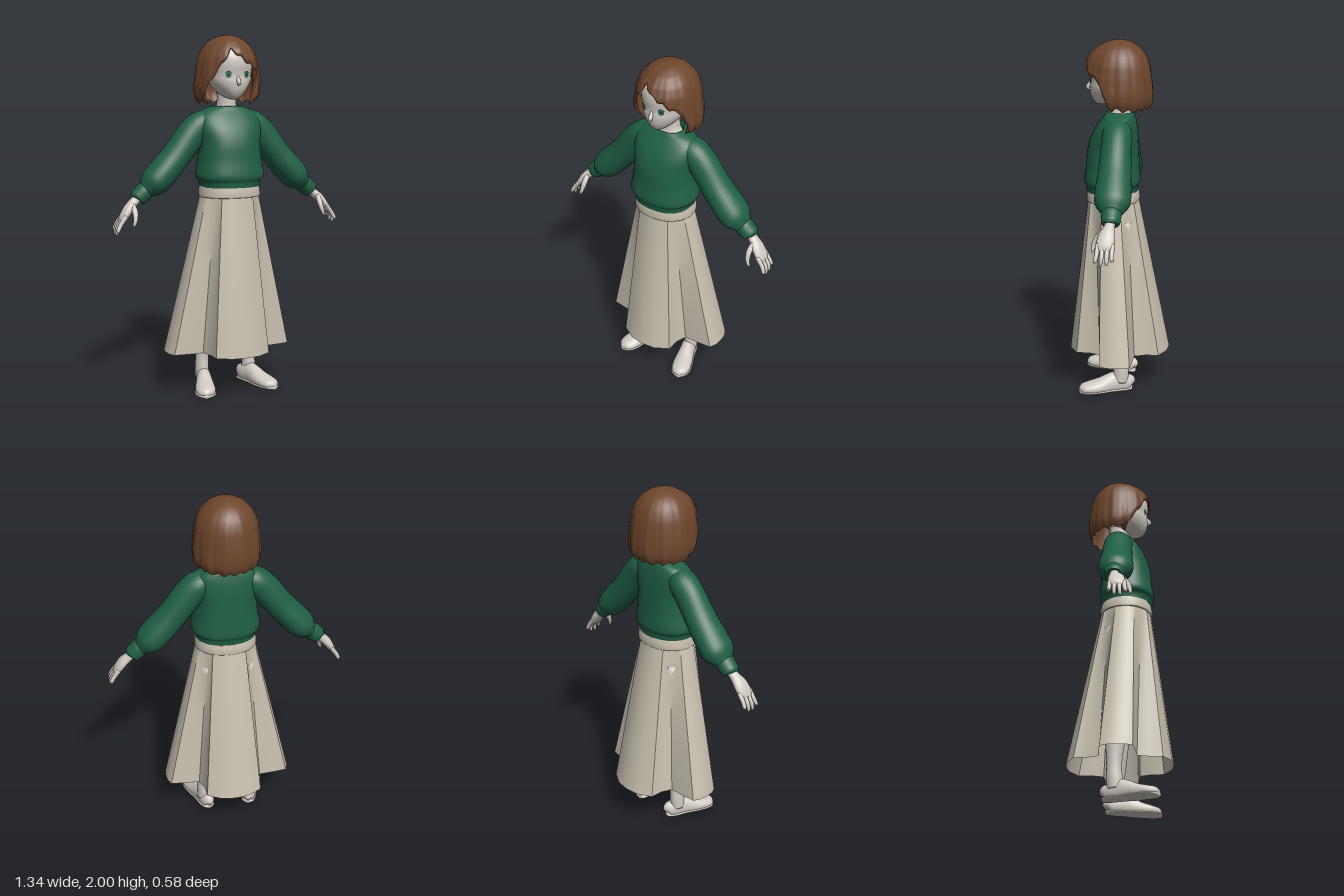
import * as THREE from 'three';
import { toCreasedNormals } from 'three/addons/utils/BufferGeometryUtils.js';

const paint = (name, color, side = THREE.FrontSide) => {
  const m = new THREE.MeshStandardMaterial({ color, side });
  m.name = name;
  return m;
};
const { lerp } = THREE.MathUtils;

// Catmull-Rom smoothing of rows of numbers
function smooth(keys, sub) {
  const rows = [];
  const at = i => keys[Math.min(Math.max(i, 0), keys.length - 1)];
  for (let i = 0; i < keys.length - 1; i++) {
    for (let k = 0; k < sub; k++) {
      const t = k / sub;
      rows.push(at(i).map((p1, c) => {
        const p0 = at(i - 1)[c], p2 = at(i + 1)[c], p3 = at(i + 2)[c];
        return p1 + 0.5 * t * (p2 - p0 + t * (2 * p0 - 5 * p1 + 4 * p2 - p3 + t * (3 * (p1 - p2) + p3 - p0)));
      }));
    }
  }
  rows.push(keys[keys.length - 1]);
  return rows;
}

// Linear lookup in [x, y] pairs
function lookup(table, x) {
  if (x <= table[0][0]) return table[0][1];
  for (let i = 1; i < table.length; i++) {
    const [x0, y0] = table[i - 1], [x1, y1] = table[i];
    if (x <= x1) return lerp(y0, y1, (x - x0) / (x1 - x0));
  }
  return table[table.length - 1][1];
}

// Skin over closed rings of Vector3, wound so that it faces outwards
function skinRings(rings, cap = false) {
  if (cap) {
    const centre = r => {
      const c = r.reduce((a, p) => a.add(p), new THREE.Vector3()).divideScalar(r.length);
      return r.map(() => c);
    };
    rings = [centre(rings[0]), ...rings, centre(rings[rings.length - 1])];
  }
  const n = rings[0].length, pts = rings.flat(), idx = [];
  for (let r = 0; r < rings.length - 1; r++) {
    for (let i = 0; i < n; i++) {
      const a = r * n + i, b = r * n + (i + 1) % n;
      idx.push(a, b, a + n, b, b + n, a + n);
    }
  }
  const mid = pts.reduce((a, p) => a.add(p), new THREE.Vector3()).divideScalar(pts.length);
  const rel = pts.map(p => p.clone().sub(mid));
  let volume = 0;
  for (let i = 0; i < idx.length; i += 3) {
    volume += rel[idx[i]].dot(rel[idx[i + 1]].clone().cross(rel[idx[i + 2]]));
  }
  if (volume < 0) idx.reverse();
  const g = new THREE.BufferGeometry().setFromPoints(pts);
  g.setIndex(idx);
  g.computeVertexNormals();
  return g;
}

// Upright body from [y, halfWidth, zFront, zBack]
function stack(keys, { sub = 4, n = 40, cap = true, power = 1 } = {}) {
  const bend = v => Math.sign(v) * Math.abs(v) ** power;
  return skinRings(smooth(keys, sub).map(([y, rx, zf, zb]) => Array.from({ length: n }, (_, i) => {
    const a = i / n * Math.PI * 2;
    return new THREE.Vector3(rx * bend(Math.sin(a)), y, (zf + zb) / 2 + (zf - zb) / 2 * bend(Math.cos(a)));
  })), cap);
}

// Limb along a path from [x, y, z, radiusAcross, radiusAlongRef]
function limb(keys, { s = 1, sub = 4, n = 16, ref = new THREE.Vector3(0, 0, 1) } = {}) {
  const rows = smooth(keys.map(([x, ...rest]) => [x * s, ...rest]), sub);
  const centres = rows.map(r => new THREE.Vector3(r[0], r[1], r[2]));
  return skinRings(rows.map((r, i) => {
    const t = centres[Math.min(i + 1, rows.length - 1)].clone().sub(centres[Math.max(i - 1, 0)]).normalize();
    const side = ref.clone().addScaledVector(t, -ref.dot(t)).normalize();
    const across = t.clone().cross(side);
    return Array.from({ length: n }, (_, k) => {
      const a = k / n * Math.PI * 2;
      return centres[i].clone().addScaledVector(across, r[3] * Math.cos(a)).addScaledVector(side, r[4] * Math.sin(a));
    });
  }), true);
}

// Pleated skirt: four panels with recesses between them
function skirtGeometry() {
  const hem = [[0, 0.29], [0.08, 0.28], [0.16, 0.235], [0.163, 0.16], [0.185, 0.1], [0.26, 0.095], [0.35, 0.085], [0.368, 0.045], [0.372, 0]];
  const angles = [0, 0.29, 0.58, 0.66, 0.85, 1.05, 1.2, 1.38, Math.PI / 2];
  const waist = angles.map((a, i) => {
    const k = i > 2 && i < 6 ? 0.94 : 1;
    return [0.168 * k * Math.sin(a), 0.143 * k * Math.cos(a)];
  });
  const rings = [];
  for (let r = 0; r <= 14; r++) {
    const t = r / 14;
    const quarter = hem.map(([x, z], i) => [lerp(waist[i][0], x, t), lerp(waist[i][1], z, t)]);
    const half = [...quarter, ...quarter.slice(0, -1).reverse().map(([x, z]) => [x, -z])];
    const full = [...half, ...half.slice(1, -1).reverse().map(([x, z]) => [-x, z])];
    rings.push(full.map(([x, z]) => new THREE.Vector3(x, lerp(1.12, 0.23, t), z + lerp(0.036, 0, t))));
  }
  return toCreasedNormals(skinRings(rings), 0.6);
}

// Bobbed hair: rippled cap whose lower edge leaves the face open
function hairGeometry() {
  const radius = [[1.62, 0.17], [1.66, 0.181], [1.72, 0.184], [1.8, 0.176], [1.87, 0.164], [1.92, 0.143], [1.96, 0.108], [1.985, 0.068], [1.996, 0.035], [2, 0]];
  const edge = [[-1.75, 1.63], [-1.35, 1.64], [-1.12, 1.7], [-0.8, 1.79], [-0.27, 1.915], [0.2, 1.86], [0.7, 1.81], [1.05, 1.77], [1.28, 1.65], [1.75, 1.63]];
  const n = 96, rows = 20, rings = [];
  for (let r = 0; r <= rows; r++) {
    const v = r / rows;
    rings.push(Array.from({ length: n }, (_, i) => {
      const a = (i / n * 2 - 1) * Math.PI;
      const low = lookup(edge, a) + 0.008 * Math.sin(17 * a);
      const y = 2 - (2 - low) * v ** 1.6;
      const ripple = 1 + v * (0.017 * Math.sin(11 * a + 1) + 0.011 * Math.sin(24 * a));
      const R = lookup(radius, y) * ripple * (r === rows ? 0.94 : 1);
      return new THREE.Vector3(R * Math.sin(a), y, R * Math.cos(a) * (Math.cos(a) > 0 ? 1.14 : 1));
    }));
  }
  return skinRings(rings);
}

export function createModel() {
  const model = new THREE.Group();
  const skin = paint('skin', 0xd0cac2);
  const cream = paint('skirt cream', 0xc8c0b0, THREE.DoubleSide);
  const green = paint('sweater green', 0x1f5f45, THREE.DoubleSide);
  const brown = paint('hair brown', 0x6e462c, THREE.DoubleSide);
  const iris = paint('iris green', 0x2a7a5a);
  const dark = paint('eye dark', 0x1c2a26);
  const add = (name, geometry, material, parent = model) => {
    const m = new THREE.Mesh(geometry, material);
    m.name = name;
    parent.add(m);
    return m;
  };

  // Head and neck
  add('head', stack([
    [1.648, 0.018, 0.125, 0.07], [1.665, 0.05, 0.143, 0.01], [1.7, 0.086, 0.16, -0.05], [1.74, 0.112, 0.166, -0.09],
    [1.78, 0.123, 0.163, -0.11], [1.84, 0.13, 0.17, -0.125], [1.9, 0.122, 0.155, -0.12], [1.96, 0.07, 0.09, -0.07]
  ]), skin);
  add('nose', limb([[0, 1.775, 0.157, 0.006, 0.006], [0, 1.75, 0.17, 0.011, 0.012], [0, 1.738, 0.174, 0.011, 0.014], [0, 1.725, 0.16, 0.004, 0.004]]), skin);
  add('neck', stack([[1.54, 0.085, 0.08, -0.07], [1.585, 0.07, 0.062, -0.065], [1.62, 0.054, 0.055, -0.06], [1.72, 0.054, 0.06, -0.06]]), skin);

  // Hair
  add('hair', hairGeometry(), brown);

  // Sweater body with ribbed collar and waist
  add('sweaterBody', stack([
    [1.165, 0.168, 0.184, -0.1], [1.195, 0.174, 0.188, -0.104], [1.212, 0.19, 0.196, -0.113], [1.24, 0.194, 0.197, -0.115],
    [1.31, 0.181, 0.187, -0.11], [1.4, 0.174, 0.179, -0.106], [1.48, 0.186, 0.155, -0.102], [1.54, 0.184, 0.12, -0.094],
    [1.58, 0.155, 0.09, -0.085], [1.603, 0.1, 0.075, -0.08], [1.608, 0.082, 0.068, -0.075], [1.59, 0.07, 0.06, -0.068]
  ], { power: 0.87, cap: false }), green);

  // Skirt and waistband
  add('skirt', skirtGeometry(), cream);
  add('waistband', stack([
    [1.108, 0.168, 0.178, -0.106], [1.112, 0.175, 0.186, -0.112], [1.14, 0.174, 0.186, -0.112], [1.168, 0.17, 0.182, -0.106]
  ], { power: 0.92, cap: false }), cream);

  const shoe = [
    [0, 0.03, -0.087, 0.008, 0.012], [0, 0.04, -0.075, 0.032, 0.045], [0, 0.045, -0.035, 0.043, 0.055], [0, 0.05, 0.01, 0.044, 0.065],
    [0, 0.045, 0.05, 0.047, 0.058], [0, 0.035, 0.1, 0.054, 0.047], [0, 0.03, 0.16, 0.056, 0.036], [0, 0.025, 0.205, 0.042, 0.028], [0, 0.022, 0.226, 0.008, 0.008]
  ];
  const up = new THREE.Vector3(0, 1, 0);

  for (const s of [1, -1]) {
    const side = s > 0 ? 'left' : 'right';

    // Eye plates
    const eye = new THREE.Group();
    eye.name = side + 'Eye';
    eye.position.set(s * 0.053, 1.782, 0.154);
    eye.rotation.y = s * 0.4;
    model.add(eye);
    add('iris', new THREE.CircleGeometry(0.016, 20), iris, eye).scale.y = 1.1;
    add('pupil', new THREE.CircleGeometry(0.007, 16), dark, eye).position.z = 0.001;
    const lash = add('lash', new THREE.RingGeometry(0.016, 0.02, 16, 1, 0.5, 2.15), dark, eye);
    lash.position.z = 0.001;

    // Ear and side lock
    const ear = add(side + 'Ear', new THREE.SphereGeometry(1, 16, 12), skin);
    ear.scale.set(0.014, 0.034, 0.022);
    ear.position.set(s * 0.127, 1.765, 0.025);
    ear.rotation.y = s * -0.4;
    add(side + 'Lock', limb([[0.15, 1.82, 0.03, 0.01, 0.03], [0.164, 1.74, 0.03, 0.016, 0.032], [0.155, 1.67, 0.03, 0.018, 0.028], [0.125, 1.622, 0.035, 0.003, 0.004]], { s }), brown);

    // Sleeve gathered into a cuff
    add(side + 'Sleeve', limb([
      [0.1, 1.535, 0, 0.05, 0.06], [0.15, 1.512, 0, 0.075, 0.08], [0.21, 1.455, 0, 0.083, 0.082], [0.3, 1.34, 0, 0.081, 0.088],
      [0.39, 1.24, 0, 0.083, 0.097], [0.44, 1.19, 0, 0.076, 0.092], [0.476, 1.158, 0, 0.05, 0.06], [0.488, 1.148, 0, 0.045, 0.05]
    ], { s, n: 28 }), green);
    add(side + 'Cuff', limb([
      [0.478, 1.158, 0, 0.045, 0.045], [0.486, 1.152, 0, 0.051, 0.054], [0.51, 1.13, 0, 0.05, 0.052], [0.53, 1.113, 0, 0.047, 0.048], [0.533, 1.11, 0, 0.036, 0.036]
    ], { s, n: 24 }), green);

    // Hand
    const hand = new THREE.Group();
    hand.name = side + 'Hand';
    model.add(hand);
    add('palm', limb([
      [0.505, 1.135, 0, 0.026, 0.026], [0.55, 1.095, 0.005, 0.025, 0.029], [0.585, 1.06, 0.014, 0.026, 0.044], [0.617, 1.015, 0.02, 0.021, 0.047], [0.632, 0.988, 0.02, 0.011, 0.038]
    ], { s }), skin, hand);
    [[-0.018, 0.945], [0.007, 0.925], [0.033, 0.922], [0.059, 0.938]].forEach(([z, tip]) => {
      add('finger', limb([
        [0.61, 1.025, z, 0.013, 0.012], [0.64, 0.985, z, 0.013, 0.012], [0.657, 0.955, z * 1.1, 0.011, 0.011], [0.66, tip + 0.006, z * 1.15, 0.008, 0.008], [0.66, tip, z * 1.15, 0.002, 0.002]
      ], { s, n: 10 }), skin, hand);
    });
    add('thumb', limb([
      [0.565, 1.08, 0.03, 0.015, 0.015], [0.562, 1.045, 0.065, 0.016, 0.016], [0.567, 1.005, 0.084, 0.012, 0.012], [0.577, 0.978, 0.088, 0.008, 0.008], [0.58, 0.97, 0.088, 0.002, 0.002]
    ], { s, n: 10 }), skin, hand);

    // Leg, shoe and sole
    add(side + 'Leg', limb([
      [0.085, 1, 0, 0.075, 0.08], [0.11, 0.6, 0, 0.055, 0.06], [0.128, 0.38, -0.015, 0.052, 0.056], [0.142, 0.2, -0.022, 0.038, 0.041], [0.146, 0.12, -0.02, 0.039, 0.044], [0.146, 0.06, -0.015, 0.04, 0.045]
    ], { s, n: 20 }), skin);
    const foot = new THREE.Group();
    foot.name = side + 'Foot';
    foot.position.x = s * 0.143;
    foot.rotation.y = s * 0.3;
    model.add(foot);
    add('shoe', limb(shoe, { n: 24, ref: up }), skin, foot);
    add('sole', limb(shoe.map(([x, , z, a]) => [x, 0.012, z * 1.01, a * 1.06, 0.012]), { n: 24, ref: up }), skin, foot);
    // Flatten the underside on the ground
    for (const m of foot.children) {
      const p = m.geometry.attributes.position;
      for (let i = 0; i < p.count; i++) p.setY(i, Math.max(p.getY(i), 0));
      m.geometry.computeVertexNormals();
    }
  }
  return model;
}
